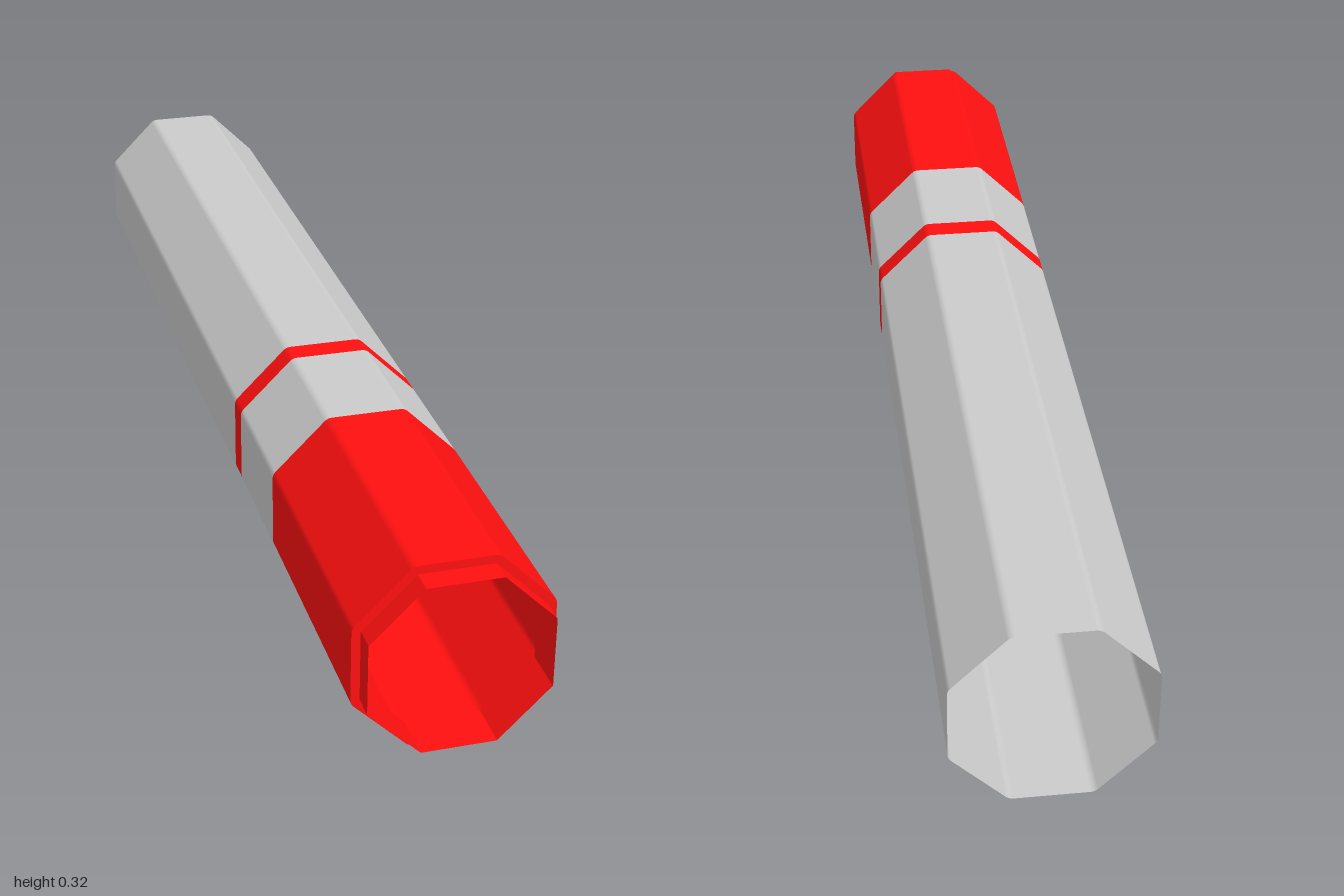
import * as THREE from 'three';

const APOTHEM = 0.162, LIP = 0.1475, ROUND = 0.018;

// Octagon with softly rounded corners: points with their outward directions
function section(apothem, radius, steps = 4) {
  const points = [];
  const reach = (apothem - radius) / Math.cos(Math.PI / 8);
  for (let k = 0; k < 8; k++) {
    const corner = (k + 0.5) * Math.PI / 4;
    for (let s = 0; s <= steps; s++) {
      const t = corner + (s / steps - 0.5) * Math.PI / 4;
      const nx = Math.cos(t), ny = Math.sin(t);
      points.push({
        x: Math.cos(corner) * reach + nx * radius,
        y: Math.sin(corner) * reach + ny * radius,
        nx, ny,
      });
    }
  }
  points.push(points[0]);
  return points;
}

// Joins two sections: a wall along z, or a flat ring when both share one z
function loft(a, z0, b, z1) {
  const pos = [], nor = [], index = [];
  const flat = z0 === z1;
  a.forEach((p, i) => {
    const q = b[i];
    pos.push(p.x, p.y, z0, q.x, q.y, z1);
    const n = flat ? [0, 0, 1] : [p.nx, p.ny, 0];
    nor.push(...n, ...n);
    if (i < a.length - 1) {
      const j = i * 2;
      index.push(j, j + 2, j + 3, j, j + 3, j + 1);
    }
  });
  const geo = new THREE.BufferGeometry();
  geo.setAttribute('position', new THREE.Float32BufferAttribute(pos, 3));
  geo.setAttribute('normal', new THREE.Float32BufferAttribute(nor, 3));
  geo.setIndex(index);
  return geo;
}

export function createModel() {
  const group = new THREE.Group();
  group.name = 'octagonalTube';
  const grey = new THREE.MeshStandardMaterial({ color: 0xcccccc, side: THREE.DoubleSide });
  const red = new THREE.MeshStandardMaterial({ color: 0xff1010, side: THREE.DoubleSide });

  const outer = section(APOTHEM, ROUND);
  const inner = section(LIP, ROUND - (APOTHEM - LIP));

  const add = (name, geometry, material) => {
    const mesh = new THREE.Mesh(geometry, material);
    mesh.name = name;
    mesh.position.y = APOTHEM;
    group.add(mesh);
  };

  // Outer shell, back to front, in coloured bands
  const bands = [
    ['rearBody', -1, 0.21, grey],
    ['stripe', 0.21, 0.255, red],
    ['middleBody', 0.255, 0.485, grey],
    ['frontSleeve', 0.485, 0.96, red],
  ];
  for (const [name, z0, z1, material] of bands) add(name, loft(outer, z0, outer, z1), material);

  // Front step and the narrower lip reaching a little way inside
  add('frontStep', loft(outer, 0.96, inner, 0.96), red);
  add('frontLip', loft(inner, 0.92, inner, 1), red);

  return group;
}
